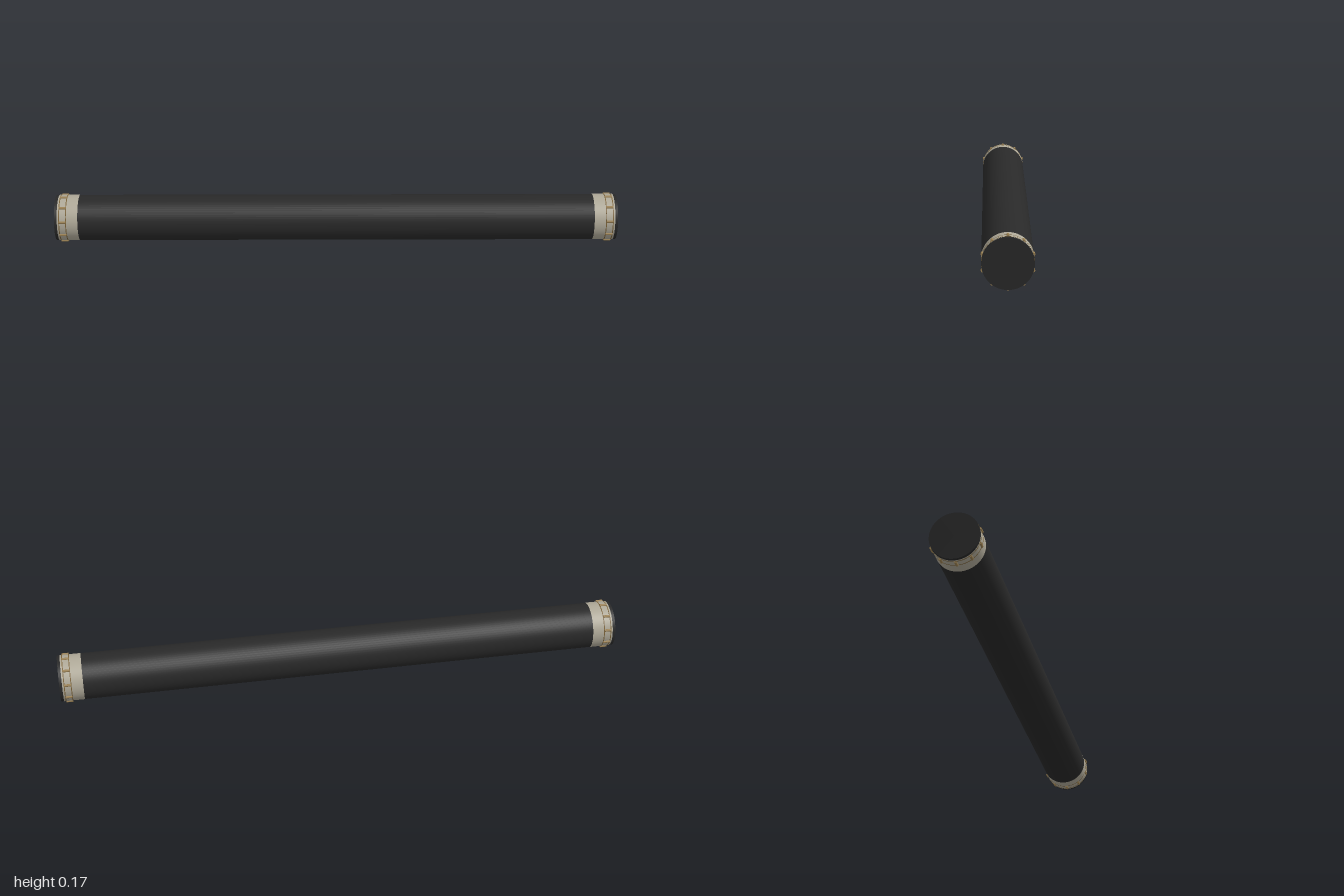
import * as THREE from 'three';

const R = 0.0812, CY = 0.0868;

function mat(name, color) {
  const m = new THREE.MeshStandardMaterial({ color });
  m.name = name;
  return m;
}

export function createModel() {
  const black = mat('matte black', 0x292929);
  const silver = mat('warm silver', 0xb0aa99);
  const bronze = mat('bronze', 0x7a6238);
  const brass = mat('aged brass', 0x9c8254);

  const model = new THREE.Group();
  model.name = 'tube';

  function add(parent, geometry, material, name, x = 0) {
    const mesh = new THREE.Mesh(geometry, material);
    mesh.name = name;
    mesh.position.x = x;
    parent.add(mesh);
    return mesh;
  }
  // Cylinder lying along x
  const rod = (r, length, sides, open = false) =>
    new THREE.CylinderGeometry(r, r, length, sides, 1, open).rotateZ(-Math.PI / 2);

  const axis = new THREE.Group();
  axis.name = 'tubeAxis';
  axis.position.y = CY;
  model.add(axis);

  // Long plain shaft with flat ends
  add(axis, rod(R, 2, 64), black, 'shaft');

  // A matching metal collar at each end
  for (const side of [-1, 1]) {
    const collar = new THREE.Group();
    collar.name = side > 0 ? 'leftCollar' : 'rightCollar';
    axis.add(collar);

    add(collar, rod(R + 0.0005, 0.073, 64, true), silver, 'sleeve', side * 0.9535);

    // Thin rims on both sides of the stud row
    for (const x of [0.959, 0.983]) {
      add(collar, rod(R + 0.0009, 0.003, 64), bronze, 'rim', side * x);
    }

    // Ten short round bars around the collar
    for (let i = 0; i < 10; i++) {
      const a = (i / 10) * Math.PI * 2;
      const stud = add(collar, rod(0.0046, 0.024, 12), brass, 'stud', side * 0.971);
      stud.position.y = Math.cos(a) * (R + 0.001);
      stud.position.z = Math.sin(a) * (R + 0.001);
    }
  }
  return model;
}
